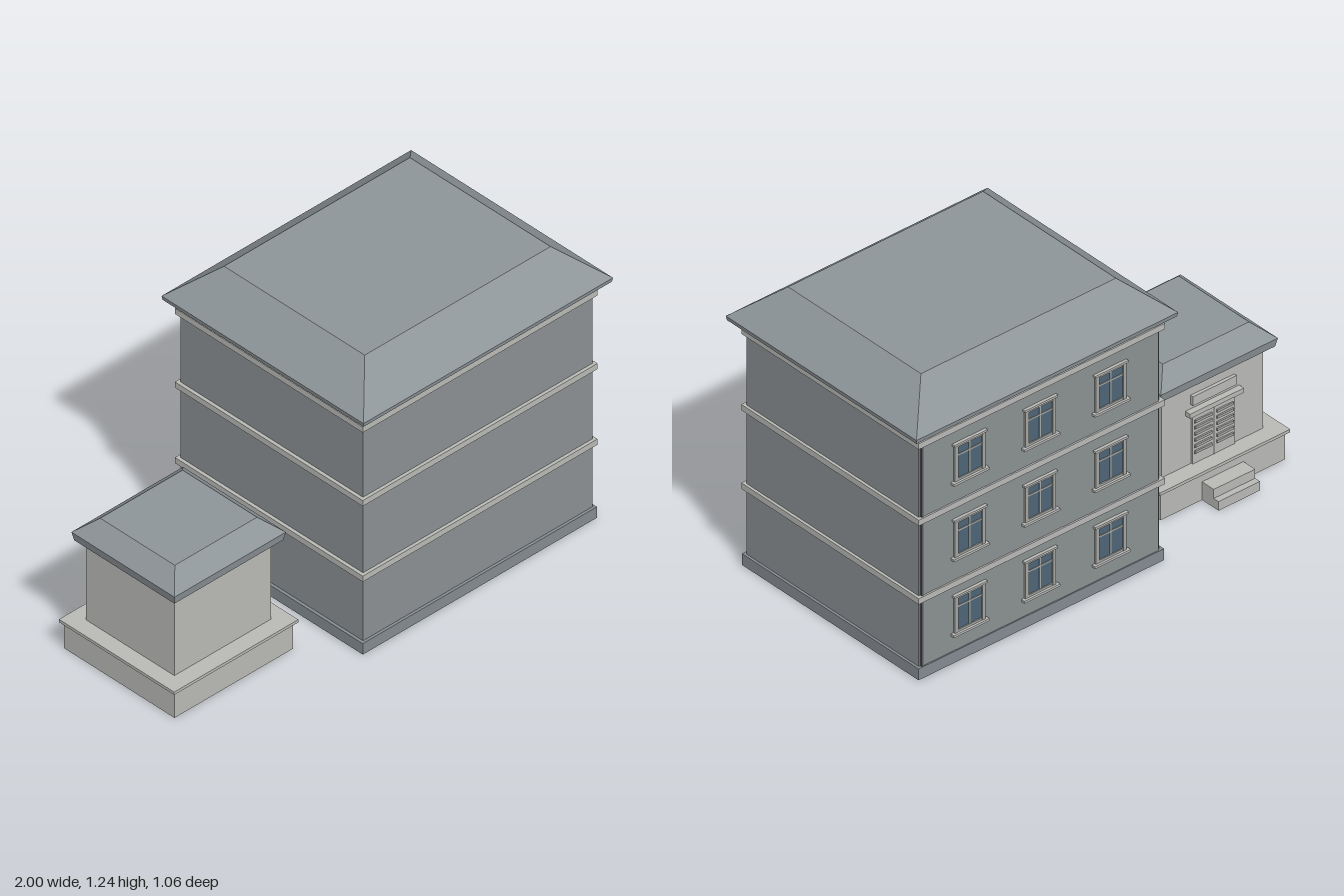
import * as THREE from 'three';

const mat = (name, color) => {
  const m = new THREE.MeshStandardMaterial({ color });
  m.name = name;
  return m;
};

export function createModel() {
  const wall = mat('wall grey', 0x8b9092);
  const base = mat('plinth grey', 0x858b91);
  const roof = mat('roof grey', 0x8e9599);
  const trim = mat('pale stone', 0xb9bab6);
  const frame = mat('window frame', 0xa4a6a2);
  const glass = mat('glass blue grey', 0x4d6576);
  const dark = mat('dark grey', 0x55585a);

  const model = new THREE.Group();
  const group = (name, parent = model) => {
    const g = new THREE.Group();
    g.name = name;
    parent.add(g);
    return g;
  };

  // Box given by its limits on each axis
  const box = (parent, name, m, x0, x1, y0, y1, z0, z1) => {
    const mesh = new THREE.Mesh(new THREE.BoxGeometry(x1 - x0, y1 - y0, z1 - z0), m);
    mesh.position.set((x0 + x1) / 2, (y0 + y1) / 2, (z0 + z1) / 2);
    mesh.name = name;
    parent.add(mesh);
    return mesh;
  };

  // Box tapered from a lower to an upper rectangle [halfX, halfZ]
  const taper = (parent, name, m, cx, y0, y1, low, high) => {
    const geo = new THREE.BoxGeometry(2, y1 - y0, 2);
    const p = geo.attributes.position;
    for (let i = 0; i < p.count; i++) {
      const h = p.getY(i) > 0 ? high : low;
      p.setX(i, p.getX(i) * h[0]);
      p.setZ(i, p.getZ(i) * h[1]);
    }
    geo.computeVertexNormals();
    const mesh = new THREE.Mesh(geo, m);
    mesh.position.set(cx, (y0 + y1) / 2, 0);
    mesh.name = name;
    parent.add(mesh);
  };

  // Main block
  const main = group('mainBuilding');
  box(main, 'walls', wall, -0.215, 0.945, 0.03, 1.075, -0.48, 0.48);
  box(main, 'plinth', base, -0.228, 0.956, 0, 0.05, -0.492, 0.492);
  box(main, 'rearFacade', wall, -0.205, 0.93, 0.05, 1.065, -0.487, -0.478);
  box(main, 'facadeEdge', dark, 0.93, 0.938, 0.05, 1.065, -0.488, -0.478);
  for (const y of [0.336, 0.683, 1.021])
    box(main, 'stringCourse', trim, -0.23, 0.957, y, y + 0.026, -0.494, 0.494);
  taper(main, 'eaves', roof, 0.369, 1.082, 1.1, [0.628, 0.528], [0.631, 0.531]);
  taper(main, 'hippedRoof', roof, 0.369, 1.1, 1.24, [0.631, 0.531], [0.47, 0.37]);

  // Rear windows, outward is -z
  const addWindow = (x, y) => {
    const w = group('window', main);
    w.position.set(x, y, -0.487);
    box(w, 'glass', glass, -0.065, 0.065, 0.01, 0.17, -0.003, 0.002);
    for (const s of [-1, 1])
      box(w, 'jamb', frame, s * 0.066 - 0.008, s * 0.066 + 0.008, 0.008, 0.168, -0.009, 0.002);
    box(w, 'bottomRail', frame, -0.065, 0.065, 0.008, 0.02, -0.008, 0.002);
    box(w, 'topRail', frame, -0.065, 0.065, 0.158, 0.17, -0.008, 0.002);
    box(w, 'mullion', frame, -0.004, 0.004, 0.01, 0.165, -0.006, 0.002);
    box(w, 'transom', frame, -0.062, 0.062, 0.118, 0.125, -0.006, 0.002);
    box(w, 'sill', trim, -0.086, 0.086, 0, 0.01, -0.018, 0.002);
    box(w, 'lintel', trim, -0.08, 0.08, 0.168, 0.177, -0.013, 0.002);
  };
  for (const y of [0.121, 0.456, 0.79])
    for (const x of [0.03, 0.37, 0.71]) addWindow(x, y);

  // Small annex on a raised platform
  const annex = group('annex');
  const cx = -0.686;
  annex.position.x = cx;
  box(annex, 'platform', trim, -0.3, 0.3, 0, 0.12, -0.29, 0.29);
  box(annex, 'platformSlab', trim, -0.314, 0.314, 0.12, 0.133, -0.303, 0.303);
  box(annex, 'walls', trim, -0.245, 0.245, 0.133, 0.51, -0.232, 0.232);
  taper(annex, 'eaves', roof, 0, 0.497, 0.534, [0.275, 0.264], [0.282, 0.271]);
  taper(annex, 'hippedRoof', roof, 0, 0.534, 0.6, [0.282, 0.271], [0.208, 0.196]);
  box(annex, 'upperStep', trim, -0.1, 0.1, 0, 0.08, -0.355, -0.28);
  box(annex, 'lowerStep', trim, -0.1, 0.1, 0, 0.04, -0.382, -0.28);

  // Louvred double door
  const door = group('door', annex);
  door.position.set(0, 0.133, -0.232);
  for (const s of [-1, 1]) {
    box(door, 'leaf', trim, s * 0.052 - 0.05, s * 0.052 + 0.05, 0, 0.222, -0.008, 0.002);
    for (let i = 0; i < 6; i++) {
      const y = 0.045 + i * 0.027;
      box(door, 'louvre', frame, s * 0.052 - 0.04, s * 0.052 + 0.04, y, y + 0.011, -0.015, -0.006);
      box(door, 'louvreGap', dark, s * 0.052 - 0.04, s * 0.052 + 0.04, y - 0.004, y, -0.009, -0.006);
    }
  }
  box(door, 'meetingGap', dark, -0.002, 0.002, 0, 0.222, -0.009, 0);
  box(door, 'lintel', trim, -0.13, 0.13, 0.222, 0.242, -0.026, 0.002);
  box(door, 'blankPlaque', trim, -0.105, 0.105, 0.262, 0.302, -0.014, 0.002);

  return model;
}
